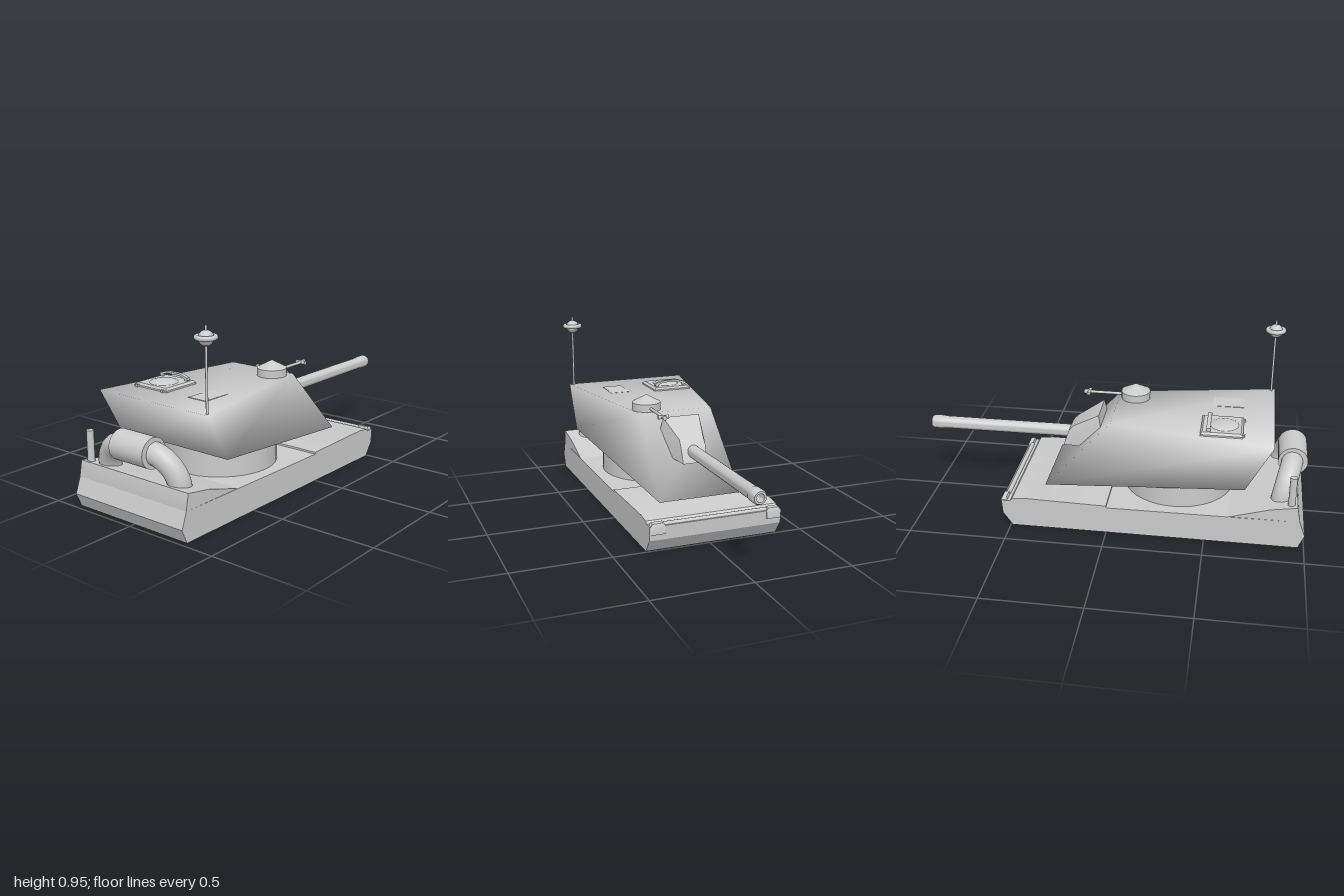
import * as THREE from 'three';
import { toCreasedNormals } from 'three/addons/utils/BufferGeometryUtils.js';

const material = new THREE.MeshStandardMaterial({ color: 0xcccccc, side: THREE.DoubleSide });

// Four-cornered level: half width, height and z at the engine end, then at the gun end
function level(wr, yr, zr, wf = wr, yf = yr, zf = -zr) {
  return [[wr, yr, zr], [wf, yf, zf], [-wf, yf, zf], [-wr, yr, zr]];
}

// Closed solid through levels listed from the bottom up
function loft(levels, crease) {
  const index = [], top = (levels.length - 1) * 4;
  for (let k = 0; k < top; k += 4) {
    for (let i = 0; i < 4; i++) {
      const a = k + i, b = k + (i + 1) % 4;
      index.push(a, b, b + 4, a, b + 4, a + 4);
    }
  }
  index.push(0, 2, 1, 0, 3, 2, top, top + 1, top + 2, top, top + 2, top + 3);
  const g = new THREE.BufferGeometry();
  g.setAttribute('position', new THREE.Float32BufferAttribute(levels.flat(2), 3));
  g.setIndex(index);
  g.computeVertexNormals();
  return crease ? toCreasedNormals(g, crease) : g;
}

function lathe(points, segments = 32) {
  const g = new THREE.LatheGeometry(points.map(p => new THREE.Vector2(...p)), segments);
  return toCreasedNormals(g, 0.6);
}

export function createModel() {
  const model = new THREE.Group();
  const vehicle = new THREE.Group();
  vehicle.name = 'vehicle';
  vehicle.position.x = -0.017;
  model.add(vehicle);

  function add(name, geometry, x = 0, y = 0, z = 0, parent = vehicle) {
    const mesh = new THREE.Mesh(geometry, material);
    mesh.name = name;
    mesh.position.set(x, y, z);
    parent.add(mesh);
    return mesh;
  }
  const tube = (points, r, n = 24) => new THREE.TubeGeometry(
    new THREE.CatmullRomCurve3(points.map(p => new THREE.Vector3(...p))), n, r, 16);
  const W = 0.3475;

  // Hull with bevelled ends, raised engine deck and sloping front plate
  add('hull', loft([
    level(W, 0, 0.97, W, 0, -0.49),
    level(W, 0.07, 1, W, 0.07, -0.54),
    level(W, 0.15, 0.97, W, 0.142, -0.545),
  ], 0.5));
  add('engineDeck', loft([
    level(W, 0.15, 0.97, W, 0.15, 0.62),
    level(W, 0.155, 0.97, W, 0.155, 0.64),
    level(W, 0.23, 0.955, W, 0.208, 0.82),
  ], 0.5));
  add('frontPlate', loft([
    level(W, 0.13, 0, W, 0.13, -0.5),
    level(W, 0.155, 0, W, 0.163, -0.42),
  ], 0.5));
  add('frontPlateLip', loft([
    level(W, 0.13, -0.42, W, 0.13, -0.51),
    level(W, 0.163, -0.42, W, 0.155, -0.49),
  ], 0.5));
  const bar = add('frontBar', new THREE.CylinderGeometry(0.012, 0.012, 0.56, 12), 0, 0.143, -0.525);
  bar.rotation.z = Math.PI / 2;
  for (const s of [-1, 1]) {
    add('frontLamp', loft([
      level(0.036, 0.1, 0.022, 0.036, 0.1, -0.01),
      level(0.036, 0.145, 0.022, 0.036, 0.145, -0.01),
      level(0.028, 0.158, 0.018, 0.028, 0.155, -0.005),
    ], 0.9), s * 0.305, 0, -0.538);
  }

  // Turret ring and wedge-shaped turret
  add('turretRing', new THREE.CylinderGeometry(0.285, 0.285, 0.14, 40), 0, 0.215, 0.34);
  add('turret', loft([
    level(W, 0.31, 0.69, 0.22, 0.18, -0.34),
    level(W, 0.55, 0.82, 0.2, 0.55, 0),
  ]));

  // Gun shield and barrel
  add('gunShield', loft([
    level(0.11, 0.36, -0.1, 0.065, 0.34, -0.27),
    level(0.115, 0.45, -0.06, 0.067, 0.425, -0.24),
    level(0.1, 0.54, -0.075, 0.065, 0.455, -0.215),
  ], 0.5));
  const barrel = add('gunBarrel', lathe([
    [0.033, 0.2], [0.033, 0.93], [0.036, 0.94], [0.036, 0.985], [0.03, 1],
    [0.02, 1], [0.02, 0.9], [0, 0.9],
  ], 24), 0, 0.394, 0);
  barrel.rotation.x = -Math.PI / 2;

  // Exhaust drum with a bent pipe on each side
  const drum = add('exhaustDrum', new THREE.CylinderGeometry(0.075, 0.075, 0.214, 32), 0.005, 0.355, 0.925);
  drum.rotation.z = Math.PI / 2;
  for (const s of [-1, 1]) {
    add('exhaustPipe', tube([
      [s * 0.228, 0.19, 0.875], [s * 0.222, 0.245, 0.885], [s * 0.19, 0.305, 0.9],
      [s * 0.135, 0.345, 0.915], [s * 0.05, 0.36, 0.925],
    ], 0.055));
  }
  add('smokeStack', new THREE.CylinderGeometry(0.018, 0.018, 0.17, 16), -0.311, 0.295, 0.925);

  // Antenna with a ringed ball
  const antenna = new THREE.Group();
  antenna.name = 'antenna';
  antenna.position.set(0.326, 0, 0.8);
  vehicle.add(antenna);
  add('antennaRod', new THREE.CylinderGeometry(0.006, 0.006, 0.42, 10), 0, 0.74, 0, antenna);
  add('antennaBall', new THREE.SphereGeometry(0.036, 24, 16), 0, 0.893, 0, antenna);
  const ring = add('antennaRing', new THREE.TorusGeometry(0.042, 0.012, 12, 32), 0, 0.897, 0, antenna);
  ring.rotation.x = Math.PI / 2;

  // Commander's cupola and its machine gun
  add('cupola', lathe([[0.076, 0.54], [0.076, 0.59], [0.07, 0.593], [0, 0.63]]), 0.132, 0, 0.088);
  const gun = new THREE.Group();
  gun.name = 'machineGun';
  gun.position.set(0.132, 0.567, 0);
  vehicle.add(gun);
  const rod = add('machineGunBarrel', new THREE.CylinderGeometry(0.008, 0.008, 0.21, 12), 0, 0, -0.08, gun);
  rod.rotation.x = Math.PI / 2;
  const muzzle = add('muzzle', new THREE.CylinderGeometry(0.012, 0.012, 0.025, 12), 0, 0, -0.177, gun);
  muzzle.rotation.x = Math.PI / 2;
  const cross = add('muzzleBrake', new THREE.CylinderGeometry(0.01, 0.01, 0.056, 12), 0, 0, -0.163, gun);
  cross.rotation.z = Math.PI / 2;

  // Square roof hatch with dome, arched handle and hinges
  const hatch = new THREE.Group();
  hatch.name = 'roofHatch';
  hatch.position.set(-0.161, 0.55, 0.56);
  vehicle.add(hatch);
  add('hatchFrame', loft([level(0.107, -0.01, 0.105), level(0.107, 0.008, 0.105), level(0.095, 0.018, 0.095)], 0.4), 0, 0, 0, hatch);
  const dome = add('hatchDome', new THREE.SphereGeometry(0.077, 32, 10, 0, Math.PI * 2, 0, Math.PI / 2), 0, 0.01, 0.01, hatch);
  dome.scale.y = 0.3;
  const arch = new THREE.Shape([
    [-0.092, 0.022], [-0.045, 0.04], [0.045, 0.04], [0.092, 0.022],
    [0.092, 0.036], [0.045, 0.05], [-0.045, 0.05], [-0.092, 0.036],
  ].map(p => new THREE.Vector2(...p)));
  add('hatchHandle', new THREE.ExtrudeGeometry(arch, { depth: 0.02, bevelEnabled: false }), 0, 0, -0.075, hatch);
  for (const s of [-1, 1]) {
    add('handlePost', new THREE.BoxGeometry(0.012, 0.03, 0.014), s * 0.08, 0.018, -0.065, hatch);
    add('hatchHinge', new THREE.BoxGeometry(0.016, 0.016, 0.02), s * 0.085, 0.003, 0.105, hatch);
  }

  // Flush roof panel
  add('roofPanel', loft([level(0.054, -0.01, 0.08), level(0.054, 0.003, 0.08, 0.054, 0.001, -0.08)], 0.4), 0.137, 0.55, 0.58);

  return model;
}
